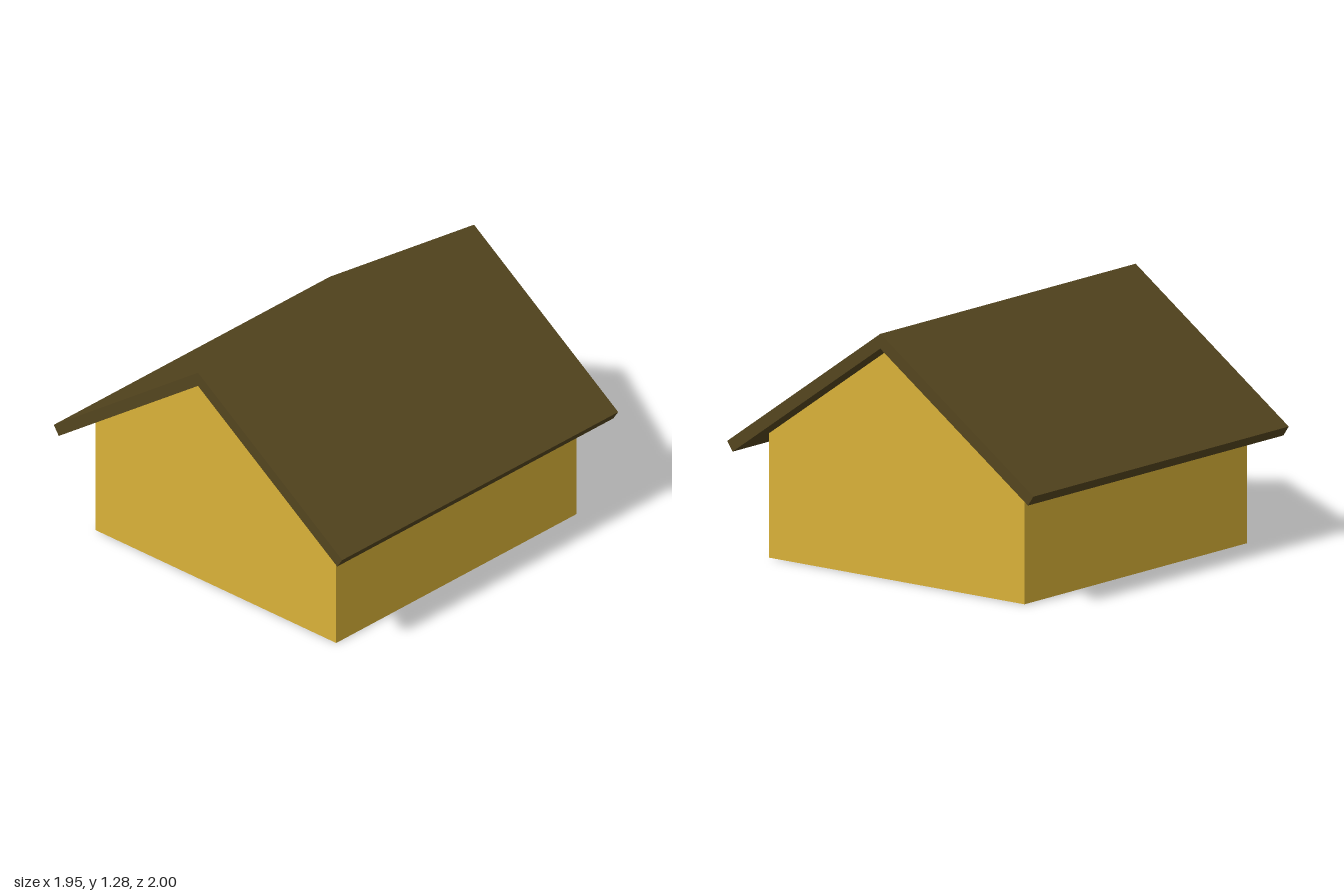
import * as THREE from 'three';

// Extrudes an x/y outline along z, centred on z = 0
function prism(name, points, depth, material) {
  const shape = new THREE.Shape(points.map(([x, y]) => new THREE.Vector2(x, y)));
  const geometry = new THREE.ExtrudeGeometry(shape, { depth, bevelEnabled: false });
  geometry.translate(0, 0, -depth / 2);
  const mesh = new THREE.Mesh(geometry, material);
  mesh.name = name;
  return mesh;
}

export function createModel() {
  const group = new THREE.Group();
  group.name = 'gabledHouse';
  const wallMaterial = new THREE.MeshStandardMaterial({ color: 0xd9b138 });
  const roofMaterial = new THREE.MeshStandardMaterial({ color: 0x54451e });
  const floorMaterial = new THREE.MeshStandardMaterial({ color: 0x333333 });

  // Walls with a gable at each end
  group.add(prism('walls', [
    [-0.815, 0.002], [0.815, 0.002], [0.815, 0.637], [0, 1.205], [-0.815, 0.637],
  ], 1.74, wallMaterial));

  // Overhanging roof, mitred at the ridge with square-cut eaves
  group.add(prism('roof', [
    [0, 1.28], [-0.977, 0.595], [-0.943, 0.545], [0, 1.205], [0.943, 0.545], [0.977, 0.595],
  ], 2, roofMaterial));

  // Dark floor facing down, leaving a narrow wall edge in sight
  const outline = new THREE.Shape([
    [0.815, -0.87], [0.815, 0.87], [-0.757, 0.805], [-0.757, -0.805],
  ].map(([x, z]) => new THREE.Vector2(x, z)));
  const floor = new THREE.Mesh(new THREE.ShapeGeometry(outline).rotateX(Math.PI / 2), floorMaterial);
  floor.name = 'floor';
  group.add(floor);

  return group;
}
